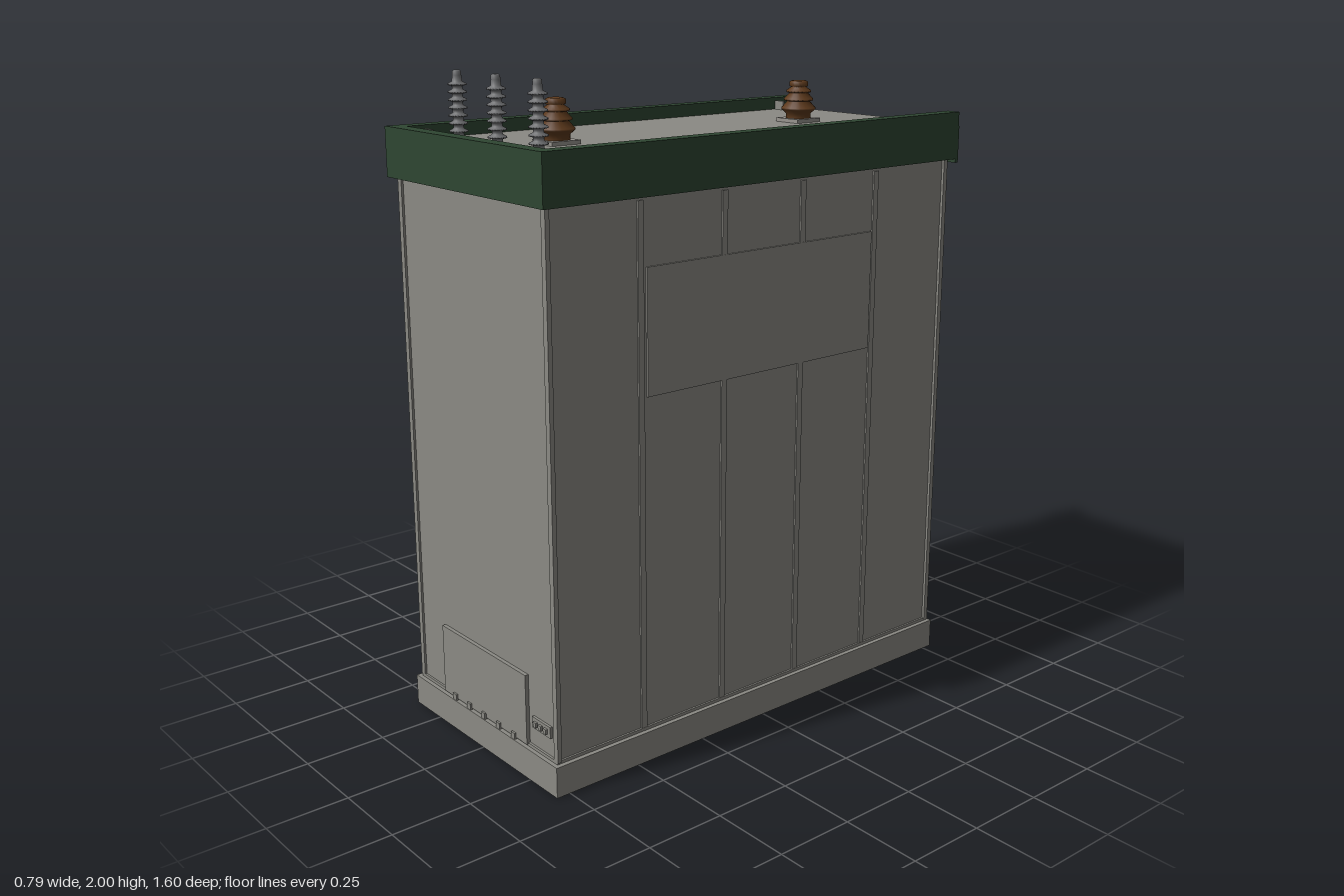
import * as THREE from 'three';

const mat = (name, color, double) => {
  const m = new THREE.MeshStandardMaterial({ color });
  m.name = name;
  if (double) m.side = THREE.DoubleSide;
  return m;
};

export function createModel() {
  const grey = mat('panel grey', 0x8b8a84);
  const green = mat('dark green', 0x2f4632);
  const brown = mat('brown porcelain', 0x5e3a1c, true);
  const steel = mat('insulator grey', 0x6c6d6f, true);
  const light = mat('light grey', 0x98958f);
  const orange = mat('warning orange', 0x8a4315);
  const model = new THREE.Group();
  model.name = 'transformerCabinet';

  // Box given by its minimum and maximum along each axis
  const box = (name, m, x0, x1, y0, y1, z0, z1, parent = model) => {
    const mesh = new THREE.Mesh(new THREE.BoxGeometry(x1 - x0, y1 - y0, z1 - z0), m);
    mesh.position.set((x0 + x1) / 2, (y0 + y1) / 2, (z0 + z1) / 2);
    mesh.name = name;
    parent.add(mesh);
    return mesh;
  };
  const lathe = (name, m, pts, x, y, z, parent = model) => {
    const mesh = new THREE.Mesh(
      new THREE.LatheGeometry(pts.map(p => new THREE.Vector2(p[0], p[1])), 20), m);
    mesh.position.set(x, y, z);
    mesh.name = name;
    parent.add(mesh);
  };

  // Plinth, sill and body
  box('plinth', grey, -0.385, 0.385, 0, 0.095, -0.785, 0.795);
  box('sill', grey, -0.371, 0.371, 0.095, 0.105, -0.778, 0.782);
  box('body', grey, -0.365, 0.365, 0.1, 1.72, -0.77, 0.775);

  // Corner posts, side ribs and the flush side panels
  for (const s of [-1, 1]) {
    const side = (name, y0, y1, z0, z1, d) =>
      box(name, grey, Math.min(s * 0.355, s * d), Math.max(s * 0.355, s * d), y0, y1, z0, z1);
    side('frontCornerPost', 0.1, 1.7, 0.768, 0.782, 0.374);
    side('backCornerPost', 0.1, 1.7, -0.778, -0.762, 0.374);
    for (const z of [0.465, 0.16, -0.147, -0.455]) side('sideRib', 0.105, 1.675, z - 0.01, z + 0.01, 0.37);
    const y = s > 0 ? 1.12 : 0.19;
    side('sideVentPanel', y, y + 0.37, -0.44, 0.445, 0.3715);
  }

  // Roof plate with raised trim at the sides and front
  const roofY = 1.795;
  box('roofPlate', grey, -0.355, 0.355, 1.7, roofY, -0.797, 0.77);
  for (const s of [-1, 1]) {
    box('roofSideTrim', green, s > 0 ? 0.35 : -0.397, s > 0 ? 0.397 : -0.35, 1.687, 1.835, -0.797, 0.803);
  }
  box('roofFrontTrim', green, -0.35, 0.35, 1.687, 1.835, 0.757, 0.803);
  box('roofBackTrim', green, -0.397, 0.397, 1.675, roofY - 0.004, -0.8, -0.788);

  // Lifting lugs
  for (const x of [-0.325, 0.325]) for (const z of [-0.7, 0.7])
    box('liftingLug', grey, x - 0.02, x + 0.02, roofY, roofY + 0.03, z - 0.004, z + 0.004);

  // Large brown bushings on square bases
  for (const z of [-0.475, 0.477]) {
    box('bushingBase', light, -0.05, 0.05, roofY, roofY + 0.012, z - 0.05, z + 0.05);
    lathe('bushing', brown, [
      [0.04, 0], [0.04, 0.015], [0.055, 0.028], [0.055, 0.033], [0.036, 0.053],
      [0.047, 0.056], [0.047, 0.061], [0.03, 0.079], [0.04, 0.082], [0.04, 0.087],
      [0.024, 0.098], [0.03, 0.101], [0.03, 0.114], [0.022, 0.118], [0, 0.118]
    ], 0, roofY + 0.012, z);
  }

  // Tall ribbed insulators along the front
  const ribs = [[0.033, 0], [0.033, 0.014], [0.016, 0.016]];
  for (let i = 0; i < 7; i++) {
    const y = 0.028 + i * 0.022;
    ribs.push([0.015, y], [0.027, y + 0.003], [0.027, y + 0.007], [0.015, y + 0.013]);
  }
  ribs.push([0.013, 0.19], [0.013, 0.201], [0.008, 0.205], [0, 0.205]);
  for (const x of [-0.2, 0, 0.2]) {
    lathe('insulator', steel, ribs, x, roofY, 0.675);
    box('insulatorClip', steel, x - 0.004, x + 0.004, roofY, roofY + 0.01, 0.7, 0.715);
  }

  // Front cable cover, its clips and a small terminal box
  box('cableCover', grey, -0.225, 0.225, 0.1, 0.32, 0.77, 0.787);
  for (const x of [-0.16, -0.08, 0, 0.08, 0.16])
    box('coverClip', grey, x - 0.009, x + 0.009, 0.095, 0.115, 0.78, 0.793);
  box('terminalBox', grey, 0.25, 0.34, 0.165, 0.2, 0.77, 0.783);
  for (const x of [0.27, 0.295, 0.32])
    box('terminalStud', grey, x - 0.007, x + 0.007, 0.175, 0.19, 0.78, 0.79);

  // Back doors with handles and hinges
  for (const s of [-1, 1]) {
    const door = new THREE.Group();
    door.name = s > 0 ? 'leftDoor' : 'rightDoor';
    model.add(door);
    const dbox = (name, m, a, b, y0, y1, z0, z1) =>
      box(name, m, Math.min(s * a, s * b), Math.max(s * a, s * b), y0, y1, z0, z1, door);
    dbox('doorLeaf', green, 0.009, 0.338, 0.125, 1.63, -0.784, -0.765);
    dbox('doorHandle', light, 0.025, 0.043, 0.75, 0.89, -0.799, -0.782);
    for (const y of [0.23, 0.88, 1.57]) dbox('hinge', light, 0.332, 0.344, y - 0.02, y + 0.02, -0.789, -0.77);
  }

  // Notice plate and triangular warning sign
  box('noticePlate', light, 0.13, 0.28, 1.04, 1.26, -0.787, -0.783);
  const tri = new THREE.Shape([[-0.035, -0.025], [0.035, -0.025], [0, 0.03]].map(p => new THREE.Vector2(...p)));
  const sign = new THREE.Mesh(new THREE.ExtrudeGeometry(tri, { depth: 0.004, bevelEnabled: false }), orange);
  sign.position.set(-0.165, 1.18, -0.787);
  sign.name = 'warningSign';
  model.add(sign);

  return model;
}
